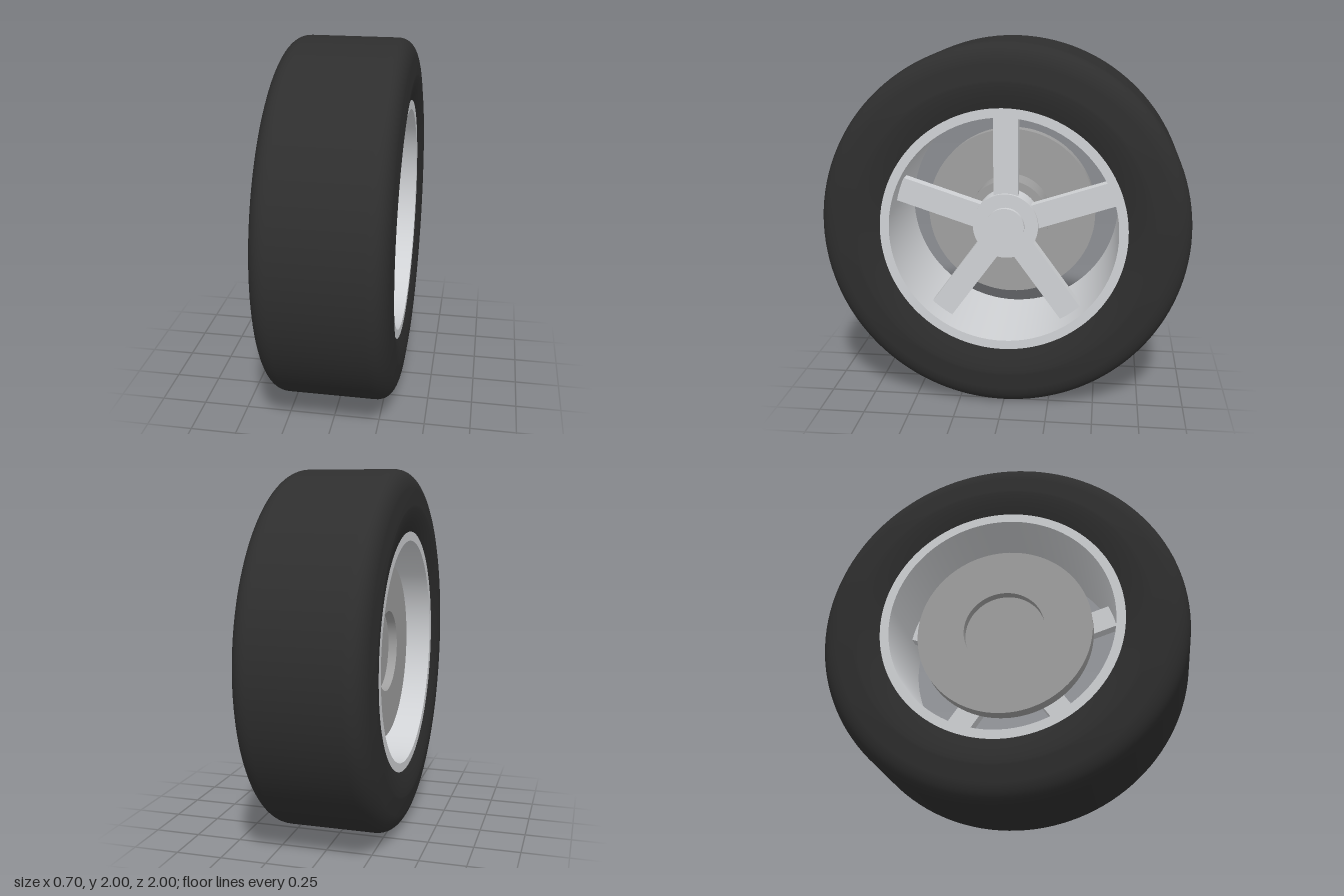
import * as THREE from 'three';
import { toCreasedNormals } from 'three/addons/utils/BufferGeometryUtils.js';

const rubber = new THREE.MeshStandardMaterial({ name: 'black rubber', color: 0x2e2e2e });
const alloy = new THREE.MeshStandardMaterial({ name: 'light alloy', color: 0xd0d2d5 });
const steel = new THREE.MeshStandardMaterial({ name: 'grey steel', color: 0xa0a0a0 });

// Axles run along y while building; the whole wheel is turned onto x at the end.
function add(group, name, geometry, material) {
  const mesh = new THREE.Mesh(geometry, material);
  mesh.name = name;
  group.add(mesh);
  return mesh;
}

// Sharp-edged ring with a rectangular section
function ring(inner, outer, from, to) {
  const points = [[inner, from], [outer, from], [outer, to], [inner, to], [inner, from]]
    .map(([r, y]) => new THREE.Vector2(r, y));
  return toCreasedNormals(new THREE.LatheGeometry(points, 96), 0.6);
}

// Solid disc between two heights on the axle
function drum(radius, from, to) {
  return new THREE.CylinderGeometry(radius, radius, to - from, 64).translate(0, (from + to) / 2, 0);
}

export function createModel() {
  const wheel = new THREE.Group();
  wheel.name = 'wheel';

  // Tyre: bulging sidewalls, rounded shoulders, flat tread
  const section = new THREE.Path();
  section.moveTo(0.66, -0.32);
  section.quadraticCurveTo(0.75, -0.35, 0.81, -0.35);
  section.lineTo(0.9, -0.338);
  section.bezierCurveTo(0.965, -0.325, 1, -0.29, 1, -0.235);
  section.lineTo(1, 0.235);
  section.bezierCurveTo(1, 0.29, 0.965, 0.325, 0.9, 0.338);
  section.lineTo(0.81, 0.35);
  section.quadraticCurveTo(0.75, 0.35, 0.66, 0.32);
  add(wheel, 'tyre', new THREE.LatheGeometry(section.getPoints(10), 128), rubber);

  // Rim barrel
  add(wheel, 'rim', ring(0.617, 0.667, -0.322, 0.322), alloy);

  // Hub and centre cap
  add(wheel, 'hub', drum(0.18, 0.04, 0.188), alloy);
  add(wheel, 'centreCap', drum(0.105, 0.18, 0.215), alloy);

  // Five spokes from the hub to the barrel
  for (let i = 0; i < 5; i++) {
    const spoke = new THREE.BoxGeometry(0.51, 0.07, 0.134).translate(-0.365, 0.135, 0);
    spoke.rotateY(i * Math.PI * 2 / 5);
    add(wheel, 'spoke' + (i + 1), spoke, alloy);
  }

  // Brake disc with its carrier, recessed on the inner side
  add(wheel, 'brakeDisc', ring(0.225, 0.485, -0.205, -0.125), steel);
  add(wheel, 'discCarrier', drum(0.225, -0.155, 0.05), steel);

  wheel.rotation.z = -Math.PI / 2;
  wheel.position.y = 1;

  const model = new THREE.Group();
  model.name = 'carWheel';
  model.add(wheel);
  return model;
}
